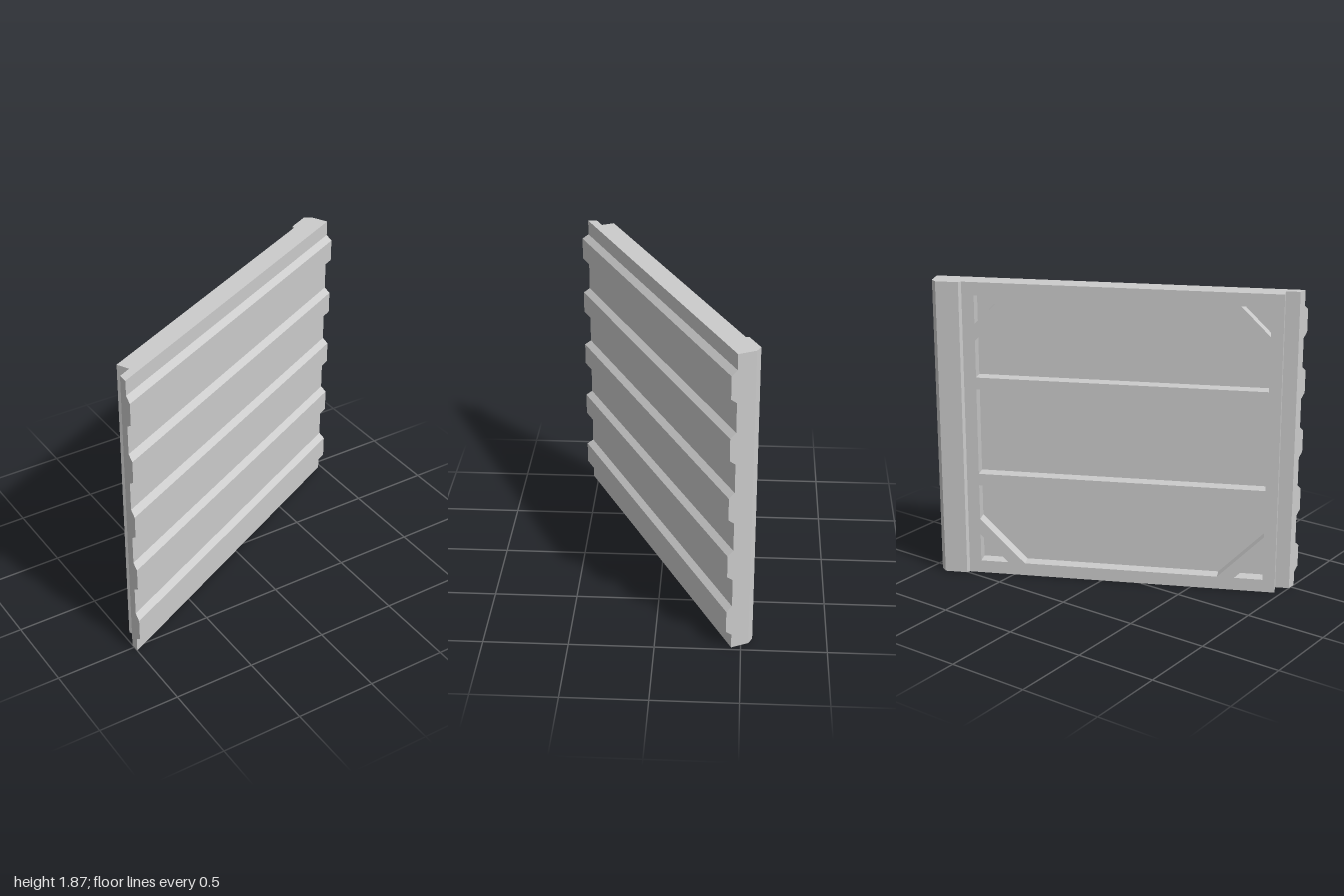
import * as THREE from 'three';

const H = 1.87;          // panel height
const ANGLE = 0.46;      // how far the panel is swung about y
const RIGHT = 1.075;     // end of the panel along its own length
const SHEET_FRONT = 0.036, RIDGE_FRONT = 0.071, SHEET_BACK = -0.016, FRAME_BACK = -0.097;

const material = new THREE.MeshStandardMaterial({ color: 0xcccccc, flatShading: true });
const points = (list) => list.map(([x, y]) => new THREE.Vector2(x, y));

function part(name, geometry) {
  const mesh = new THREE.Mesh(geometry, material);
  mesh.name = name;
  return mesh;
}

// Ribbed sheet: side profile swept along the panel, left end cut on a slant
function corrugatedSheet() {
  const profile = [[SHEET_BACK, 0], [SHEET_FRONT, 0]];
  for (let i = 0; i < 5; i++) {
    const y = 0.09 + i * 0.373;
    profile.push([SHEET_FRONT, y], [RIDGE_FRONT, y + 0.028], [RIDGE_FRONT, y + 0.165], [SHEET_FRONT, y + 0.195]);
  }
  profile.push([SHEET_FRONT, H], [SHEET_BACK, H]);
  const shape = new THREE.Shape(points(profile.map(([z, y]) => [-z, y])));
  const geometry = new THREE.ExtrudeGeometry(shape, { depth: 1, bevelEnabled: false });
  geometry.rotateY(Math.PI / 2);
  const p = geometry.attributes.position;
  const cos = Math.cos(ANGLE), tan = Math.tan(ANGLE);
  for (let i = 0; i < p.count; i++) {
    p.setX(i, p.getX(i) > 0.5 ? RIGHT : -1 / cos - tan * p.getZ(i));
  }
  geometry.computeVertexNormals();
  return part('corrugatedSheet', geometry);
}

// Back frame: one plate with three bays and four corner triangles cut out
function backFrame() {
  const l = -1.024, r = 0.891;
  const shape = new THREE.Shape(points([[l, 0], [r, 0], [r, H], [l, H]]));
  const x0 = -0.95, x1 = 0.816, y0 = 0.08, y1 = 1.79;
  const cut = 0.28, leg = 0.175;
  const bays = [
    [[x0 + cut, y0], [x1 - cut, y0], [x1, y0 + cut], [x1, 0.585], [x0, 0.585], [x0, y0 + cut]],
    [[x0, 0.66], [x1, 0.66], [x1, 1.205], [x0, 1.205]],
    [[x0, 1.28], [x1, 1.28], [x1, y1 - cut], [x1 - cut, y1], [x0 + cut, y1], [x0, y1 - cut]],
  ];
  for (const [x, sx] of [[x0, 1], [x1, -1]]) {
    for (const [y, sy] of [[y0, 1], [y1, -1]]) {
      bays.push([[x, y], [x + sx * leg, y], [x, y + sy * leg]]);
    }
  }
  bays.forEach((bay) => shape.holes.push(new THREE.Path(points(bay))));
  const geometry = new THREE.ExtrudeGeometry(shape, { depth: SHEET_BACK - FRAME_BACK, bevelEnabled: false });
  geometry.translate(0, 0, FRAME_BACK);
  return part('backFrame', geometry);
}

// Upright post with chamfered corners along the right end
function endPost() {
  const plan = [[0.891, SHEET_BACK], [0.891, FRAME_BACK], [0.905, -0.115], [1.045, -0.115], [RIGHT, -0.075], [RIGHT, SHEET_BACK]];
  const shape = new THREE.Shape(points(plan.map(([x, z]) => [x, -z])));
  const geometry = new THREE.ExtrudeGeometry(shape, { depth: H, bevelEnabled: false });
  geometry.rotateX(-Math.PI / 2);
  return part('endPost', geometry);
}

export function createModel() {
  const model = new THREE.Group();
  model.name = 'wallPanel';
  const panel = new THREE.Group();
  panel.name = 'panel';
  panel.add(corrugatedSheet(), backFrame(), endPost());
  panel.rotation.y = ANGLE;
  model.add(panel);
  return model;
}
